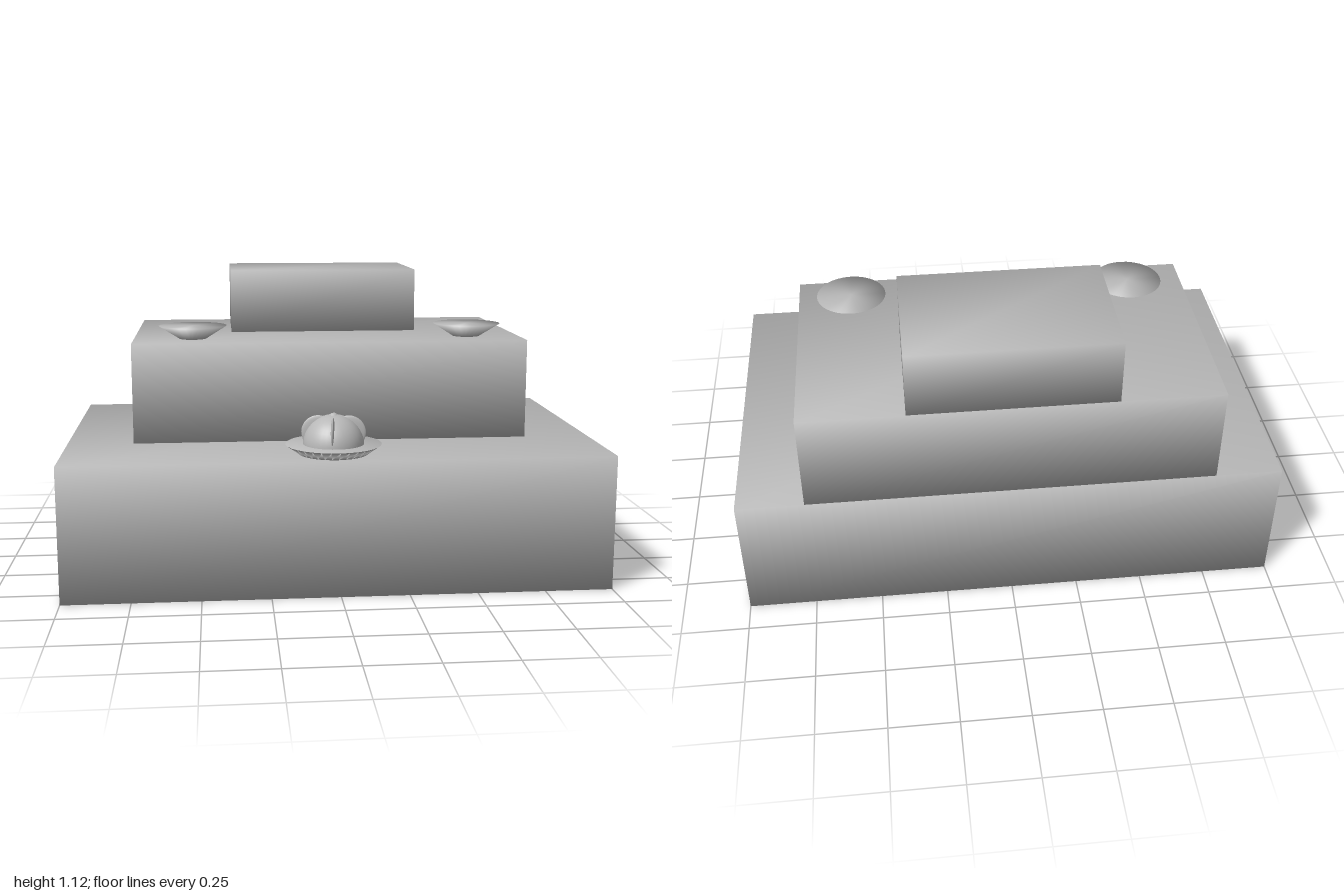
import * as THREE from 'three';
import { mergeVertices } from 'three/addons/utils/BufferGeometryUtils.js';

const grey = new THREE.MeshStandardMaterial({ color: 0xb8b8b8 });
grey.name = 'stone grey';

// Share all corners so shading runs smoothly over the edges
function soften(geometry) {
  geometry.deleteAttribute('uv');
  geometry.deleteAttribute('normal');
  const merged = mergeVertices(geometry, 1e-5);
  merged.computeVertexNormals();
  return merged;
}

function addMesh(parent, name, geometry, x, y, z) {
  const mesh = new THREE.Mesh(geometry, grey);
  mesh.name = name;
  mesh.position.set(x, y, z);
  parent.add(mesh);
  return mesh;
}

export function createModel() {
  const model = new THREE.Group();
  model.name = 'steppedAltar';

  // Three steps, flush at the back: name, width, bottom, top, front
  const back = -0.64;
  for (const [name, width, y0, y1, front] of [
    ['lowerStep', 2, 0, 0.5, 0.61],
    ['middleStep', 1.504, 0.5, 0.877, 0.233],
    ['upperStep', 0.746, 0.877, 1.125, -0.14],
  ]) {
    const box = soften(new THREE.BoxGeometry(width, y1 - y0, front - back));
    addMesh(model, name, box, 0, (y0 + y1) / 2, (front + back) / 2);
  }

  // Shallow flared dishes on the middle step
  const dish = soften(new THREE.CylinderGeometry(0.131, 0.052, 0.05, 32));
  addMesh(model, 'rightDish', dish, -0.525, 0.902, 0.06);
  addMesh(model, 'leftDish', dish, 0.548, 0.902, 0.06);

  // Offering on the lower step: plate, dome, four ribs and a knob
  const offering = new THREE.Group();
  offering.name = 'offering';
  offering.position.set(-0.015, 0.5, 0.46);
  offering.rotation.y = -0.14;
  model.add(offering);

  const plate = soften(new THREE.CylinderGeometry(0.176, 0.127, 0.035, 32));
  addMesh(offering, 'plate', plate, 0, 0.0175, 0);

  const dome = new THREE.SphereGeometry(0.112, 32, 12, 0, Math.PI * 2, 0, Math.PI / 2);
  addMesh(offering, 'dome', dome, 0, 0.03, 0);

  // Thin round ribs bulging out of the dome
  const rib = new THREE.SphereGeometry(0.062, 24, 16);
  rib.scale(1, 1, 0.13);
  for (let i = 0; i < 4; i++) {
    const a = (i * Math.PI) / 2;
    const mesh = addMesh(offering, 'rib', rib, Math.cos(a) * 0.056, 0.077, -Math.sin(a) * 0.056);
    mesh.rotation.y = a;
  }
  addMesh(offering, 'knob', new THREE.SphereGeometry(0.02, 16, 12), 0, 0.128, 0);

  return model;
}
